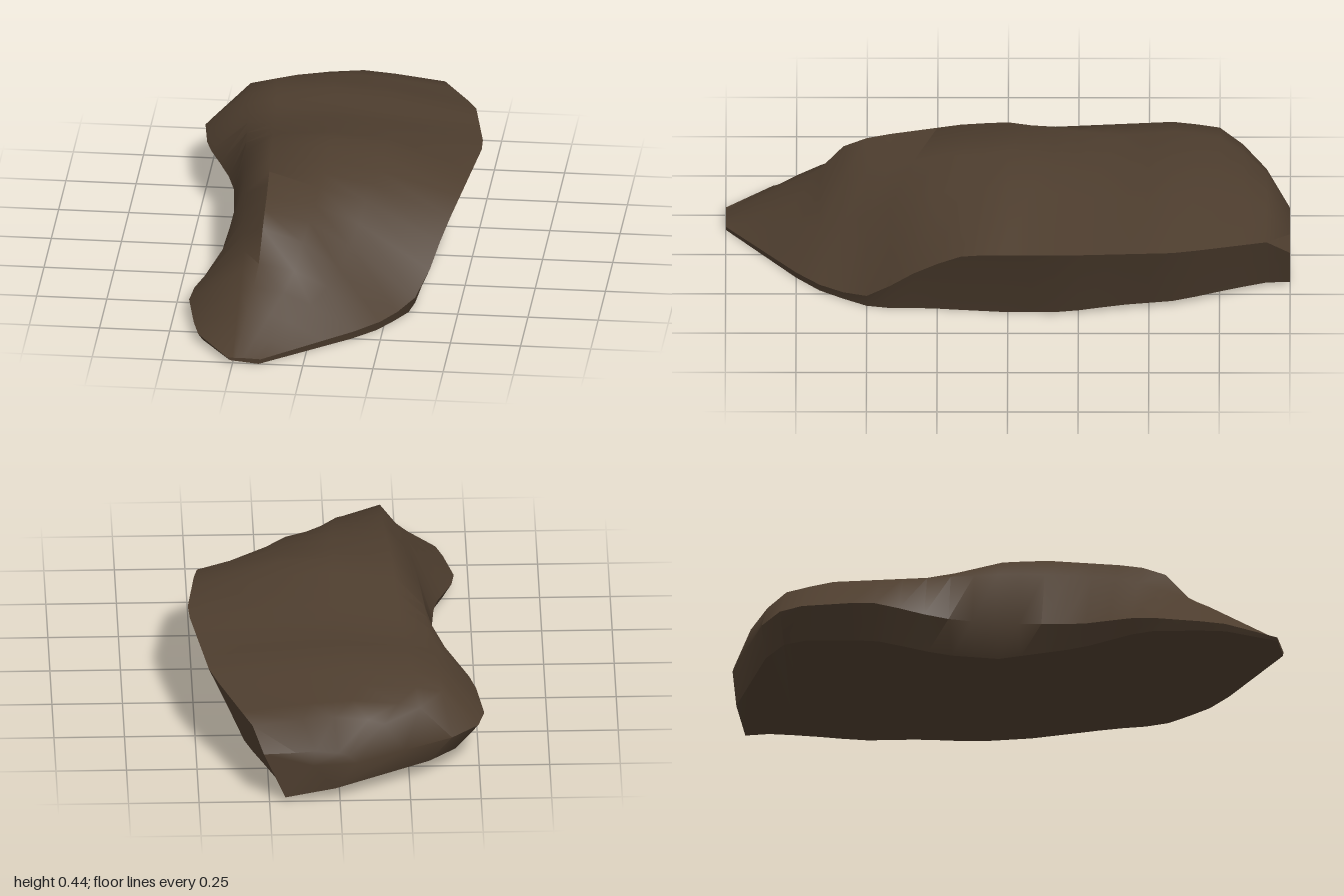
import * as THREE from 'three';
import { toCreasedNormals } from 'three/addons/utils/BufferGeometryUtils.js';

const { lerp } = THREE.MathUtils;

// Straight-line curve through [z, value] points listed from front to back
const curve = (...points) => z => {
  let i = 1;
  while (i < points.length - 1 && z < points[i][0]) i++;
  const [z0, v0] = points[i - 1], [z1, v1] = points[i];
  return lerp(v0, v1, (z - z0) / (z1 - z0));
};

// Plan outline
const leftX = curve([1, -.27], [.82, -.4], [.55, -.455], [.3, -.37], [0, -.35], [-.2, -.37],
  [-.45, -.49], [-.7, -.525], [-.8, -.47], [-1, -.06]);
const rightX = curve([1, -.15], [.7, .22], [.45, .38], [.15, .48], [-.2, .52], [-.6, .45], [-1, .27]);
const ridgeX = curve([1, -.25], [.6, -.25], [0, -.31], [-.78, -.37], [-1, -.03]);

// Heights along the rock
const topY = curve([1, .02], [.65, .26], [.57, .37], [.45, .4], [.15, .44], [0, .44], [-.2, .4],
  [-.4, .36], [-.6, .37], [-.92, .29], [-1, .2]);
const slopeY = curve([1, .02], [.58, .2], [.3, .38], [.1, .42]);
const ridgeY = curve([1, .02], [.7, .2], [.45, .3], [.1, .33], [-.6, .33], [-.92, .26], [-1, .18]);
const crestY = curve([1, .018], [.52, .04], [.3, .23], [.15, .32], [-.2, .345], [-.6, .31], [-.92, .26], [-1, .19]);
const ledgeY = curve([1, .02], [.58, .05], [0, .12], [-.4, .18], [-1, .15]);
const baseY = curve([1, .01], [0, .01], [-.4, .07], [-.8, .07], [-1, .05]);

// Cross-section from the lower left, over the top, to the lower right
function section(z) {
  const left = leftX(z), right = rightX(z), ridge = ridgeX(z);
  const top = topY(z), slope = Math.min(top, slopeY(z)), crest = crestY(z);
  return [
    [left + ledgeY(z) * 0.5, baseY(z)],
    [left, ledgeY(z)],
    [ridge, ridgeY(z)],
    [lerp(ridge, right, 0.12), top * 0.96],
    [lerp(ridge, right, 0.38), lerp(top, slope, 0.4)],
    [lerp(ridge, right, 0.62), slope * 0.97],
    [right, crest],
    [right - crest * 0.2, crest * 0.55],
    [right - crest * 0.4, baseY(z) * 0.4 - 0.004],
  ];
}

// Skin the sections and close both ends with fans
function rockGeometry(steps) {
  const positions = [], index = [];
  const rings = Array.from({ length: steps + 1 }, (_, i) => section(1 - 2 * i / steps));
  const n = rings[0].length;
  rings.forEach((ring, i) => ring.forEach(([x, y]) => positions.push(x, y, 1 - 2 * i / steps)));

  for (let i = 0; i < steps; i++) {
    for (let j = 0; j < n; j++) {
      const a = i * n + j, b = i * n + (j + 1) % n;
      index.push(a, b, a + n, b, b + n, a + n);
    }
  }

  for (const i of [0, steps]) {
    const centre = positions.length / 3;
    const mean = axis => rings[i].reduce((sum, p) => sum + p[axis], 0) / n;
    positions.push(mean(0), mean(1), 1 - 2 * i / steps);
    for (let j = 0; j < n; j++) {
      const a = i * n + j, b = i * n + (j + 1) % n;
      if (i === 0) index.push(centre, b, a);
      else index.push(centre, a, b);
    }
  }

  const geometry = new THREE.BufferGeometry();
  geometry.setAttribute('position', new THREE.Float32BufferAttribute(positions, 3));
  geometry.setIndex(index);
  return toCreasedNormals(geometry, 0.8);
}

export function createModel() {
  const stone = new THREE.MeshStandardMaterial({ color: 0x4d3d2e });
  stone.name = 'brown stone';

  const rock = new THREE.Mesh(rockGeometry(24), stone);
  rock.name = 'rock';

  const group = new THREE.Group();
  group.name = 'curved boulder';
  group.add(rock);
  return group;
}
